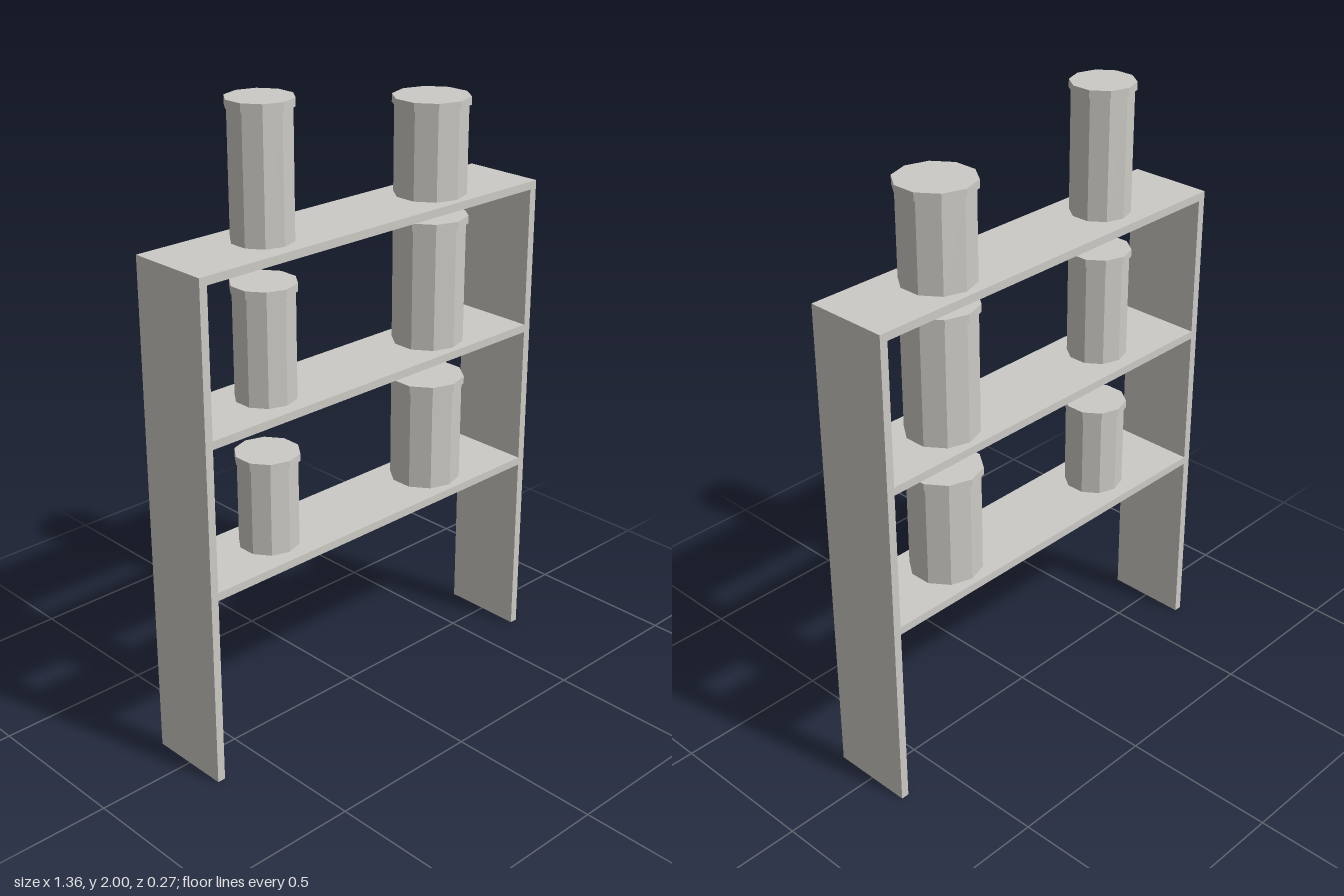
import * as THREE from 'three';

export function createModel() {
  const model = new THREE.Group();
  const grey = new THREE.MeshStandardMaterial({ color: 0xcccac5 });
  // faceted solids for the jars
  grey.flatShading = true;

  const W = 1.356, D = 0.272, T = 0.026, H = 1.595;

  function add(geometry, name, x, y, z, parent = model) {
    const mesh = new THREE.Mesh(geometry, grey);
    mesh.name = name;
    mesh.position.set(x, y, z);
    parent.add(mesh);
    return mesh;
  }

  // Side panels, standing under the top board
  for (const [side, name] of [[1, 'leftPanel'], [-1, 'rightPanel']]) {
    add(new THREE.BoxGeometry(T, H - T, D), name, side * (W - T) / 2, (H - T) / 2, 0);
  }

  // Top board and the two shelves between the panels
  add(new THREE.BoxGeometry(W, T, D), 'topBoard', 0, H - T / 2, 0);
  const shelfTops = { lower: 0.64, middle: 1.117, top: H };
  for (const level of ['lower', 'middle']) {
    add(new THREE.BoxGeometry(W - 2 * T, T, D), level + 'Shelf', 0, shelfTops[level] - T / 2, 0);
  }

  // Ten-sided jar with a slightly wider lid
  function addJar(name, x, base, top, radius) {
    const jar = new THREE.Group();
    jar.name = name;
    jar.position.set(x, base, 0);
    const lid = 0.025, body = top - base - lid;
    add(new THREE.CylinderGeometry(radius * 0.94, radius * 0.94, body, 10), 'jarBody', 0, body / 2, 0, jar);
    add(new THREE.CylinderGeometry(radius, radius, lid, 10), 'jarLid', 0, body + lid / 2, 0, jar);
    model.add(jar);
  }

  // [level, top of the narrow jar, top of the wide jar]
  for (const [level, narrow, wide] of [['lower', 0.942, 0.995], ['middle', 1.472, 1.528], ['top', 2, 1.896]]) {
    addJar(level + 'NarrowJar', -0.34, shelfTops[level], narrow, 0.1);
    addJar(level + 'WideJar', 0.338, shelfTops[level], wide, 0.121);
  }

  return model;
}
